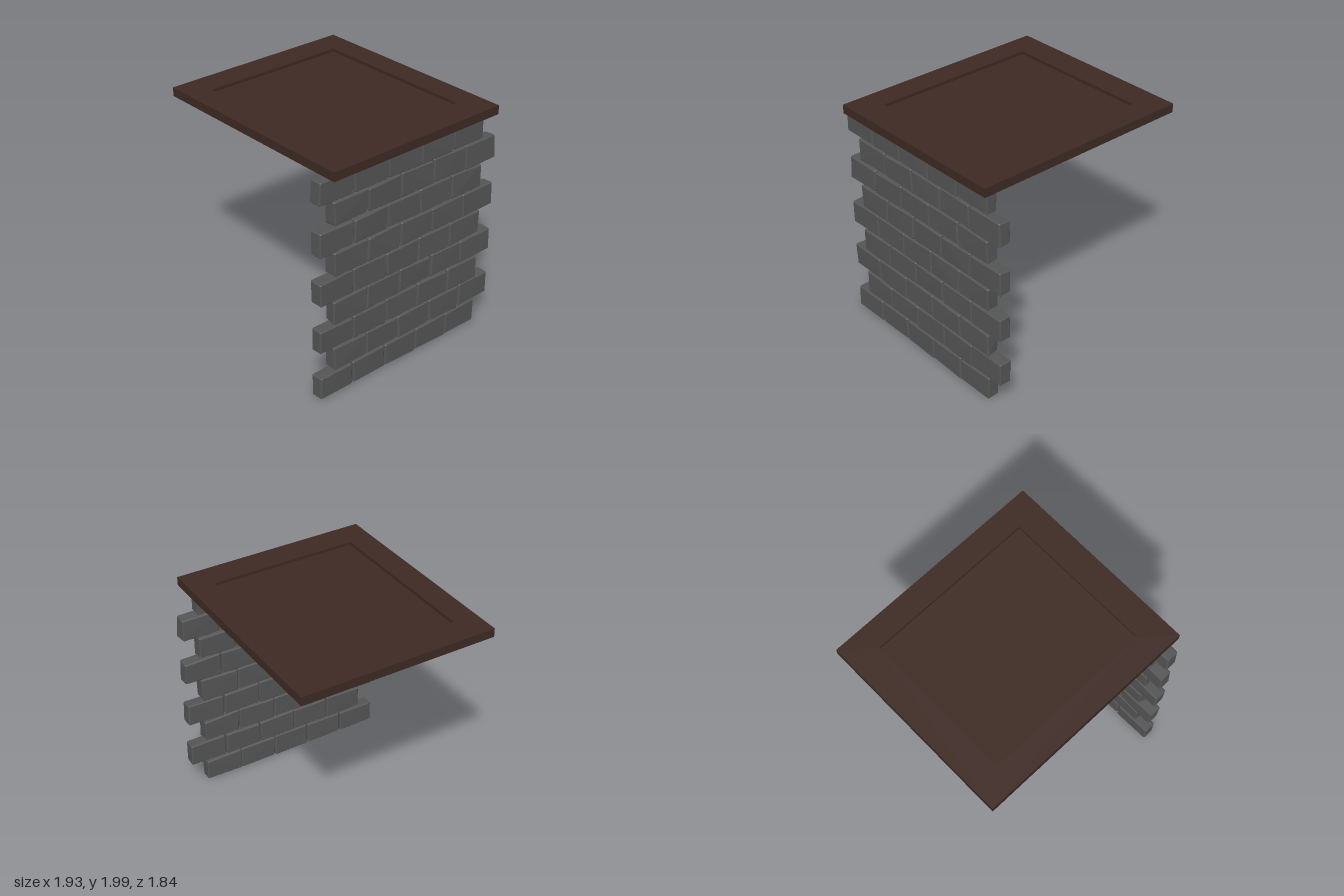
import * as THREE from 'three';
import { ConvexGeometry } from 'three/addons/geometries/ConvexGeometry.js';

// Small seeded generator, 0..1
function seeded(seed) {
  return () => {
    seed = (seed * 16807) % 2147483647;
    return seed / 2147483647;
  };
}

// Chamfered block whose eight corners are each pulled in a little
function brickGeometry(sx, sy, sz, rand) {
  const c = 0.009, wobble = 0.013, points = [];
  for (const i of [-1, 1]) for (const j of [-1, 1]) for (const k of [-1, 1]) {
    const x = i * (sx / 2 - rand() * 0.008);
    const y = j * (sy / 2 - rand() * wobble);
    const z = k * (sz / 2 - rand() * wobble);
    points.push(
      new THREE.Vector3(x, y - j * c, z - k * c),
      new THREE.Vector3(x - i * c, y, z - k * c),
      new THREE.Vector3(x - i * c, y - j * c, z)
    );
  }
  return new ConvexGeometry(points);
}

function rectangle(path, hx, hy) {
  path.moveTo(-hx, -hy);
  path.lineTo(hx, -hy);
  path.lineTo(hx, hy);
  path.lineTo(-hx, hy);
  path.closePath();
  return path;
}

export function createModel() {
  const model = new THREE.Group();
  const stone = new THREE.MeshStandardMaterial({ color: 0x555555, flatShading: true });
  const wood = new THREE.MeshStandardMaterial({ color: 0x3e2a24, flatShading: true });

  // Brick wall: nine courses of five, alternate courses shifted
  const wall = new THREE.Group();
  wall.name = 'brickWall';
  const rand = seeded(4127);
  const pitchY = 0.2127, pitchZ = 0.34;
  for (let row = 0; row < 9; row++) {
    const shift = row % 2 ? -0.07 : 0.07;
    for (let i = 0; i < 5; i++) {
      const brick = new THREE.Mesh(brickGeometry(0.114, 0.214, 0.344, rand), stone);
      brick.name = 'brick';
      brick.position.set(0.84, 0.112 + row * pitchY, shift + (2 - i) * pitchZ);
      wall.add(brick);
    }
  }
  model.add(wall);

  // Top board: a frame around a panel recessed on both faces
  const top = new THREE.Group();
  top.name = 'topBoard';
  const outline = rectangle(new THREE.Shape(), 0.967, 0.845);
  outline.holes.push(rectangle(new THREE.Path(), 0.727, 0.636));
  const frameGeometry = new THREE.ExtrudeGeometry(outline, { depth: 0.075, bevelEnabled: false });
  frameGeometry.rotateX(-Math.PI / 2);
  const frame = new THREE.Mesh(frameGeometry, wood);
  frame.name = 'topFrame';
  frame.position.y = 1.925;
  const panel = new THREE.Mesh(new THREE.BoxGeometry(1.454, 0.035, 1.272), wood);
  panel.name = 'topPanel';
  panel.position.y = 1.955;
  top.add(frame, panel);
  model.add(top);

  return model;
}
